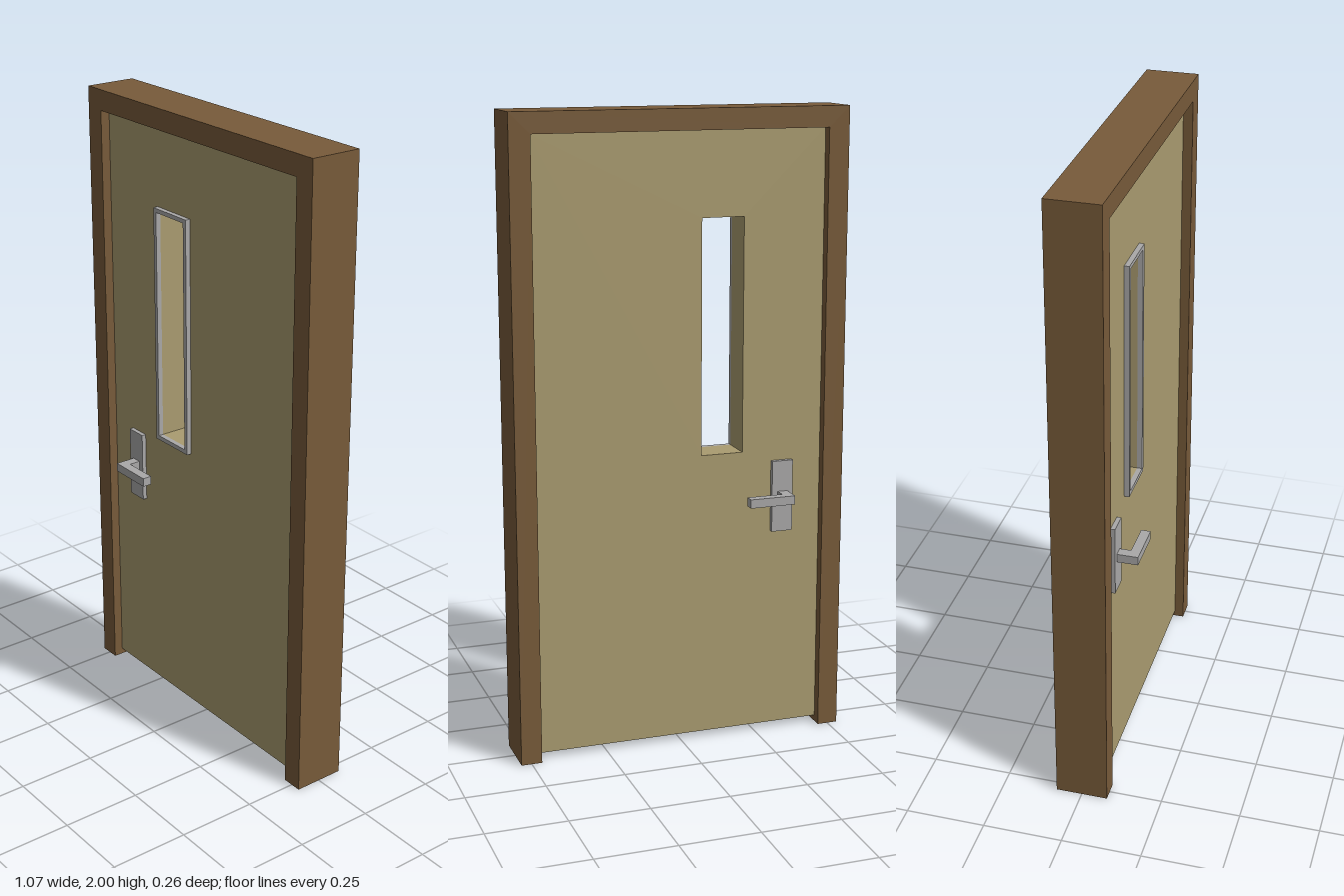
import * as THREE from 'three';

const material = (name, color) => {
  const m = new THREE.MeshStandardMaterial({ color });
  m.name = name;
  return m;
};

// Rectangle corners, counter-clockwise
const rect = (x0, x1, y0, y1) =>
  [[x0, y0], [x1, y0], [x1, y1], [x0, y1]].map(([x, y]) => new THREE.Vector2(x, y));

// Flat outline with an optional hole, extruded from z0 to z1
function slab(name, points, hole, z0, z1, mat) {
  const shape = new THREE.Shape(points);
  if (hole) shape.holes.push(new THREE.Path(hole));
  const geo = new THREE.ExtrudeGeometry(shape, { depth: z1 - z0, bevelEnabled: false });
  geo.translate(0, 0, z0);
  const mesh = new THREE.Mesh(geo, mat);
  mesh.name = name;
  return mesh;
}

export function createModel() {
  const wood = material('brown frame', 0x785b3a);
  const panel = material('tan door', 0xaa9c70);
  const metal = material('grey metal', 0xaaa9a9);

  const W = 0.533, IN = 0.467, TOP = 1.935, FZ = 0.082, DZ = 0.052;
  const model = new THREE.Group();
  model.name = 'door';

  // Door frame: two jambs joined by a head, open at the bottom
  const outline = [[-W, 0], [-IN, 0], [-IN, TOP], [IN, TOP], [IN, 0], [W, 0], [W, 2], [-W, 2]]
    .map(([x, y]) => new THREE.Vector2(x, y));
  model.add(slab('doorFrame', outline, null, -FZ, FZ, wood));

  // Door leaf with a narrow opening, trimmed on the front only
  const opening = rect(-0.204, -0.068, 0.935, 1.672);
  model.add(slab('doorLeaf', rect(-IN, IN, 0.02, TOP), opening, -DZ, DZ, panel));
  model.add(slab('windowTrim', rect(-0.217, -0.054, 0.921, 1.685), opening, DZ, DZ + 0.016, metal));

  // Handle set on each face: backplate and L-shaped lever
  const lever = [[-0.352, 0.06], [-0.32, 0.06], [-0.32, 0.102], [-0.204, 0.102], [-0.204, 0.132], [-0.352, 0.132]]
    .map(([x, z]) => new THREE.Vector2(x, z));
  for (const side of [1, -1]) {
    const handle = new THREE.Group();
    handle.name = side > 0 ? 'frontHandle' : 'backHandle';
    const z = [side * DZ, side * (DZ + 0.014)].sort((a, b) => a - b);
    handle.add(slab('backplate', rect(-0.37, -0.301, 0.67, 0.9), null, z[0], z[1], metal));
    // Lever outline lies in plan, extruded upwards
    const points = lever.map((p) => new THREE.Vector2(p.x, -side * p.y));
    const arm = slab('lever', points, null, 0, 0.028, metal);
    arm.rotation.x = -Math.PI / 2;
    arm.position.y = 0.773;
    handle.add(arm);
    model.add(handle);
  }
  return model;
}
